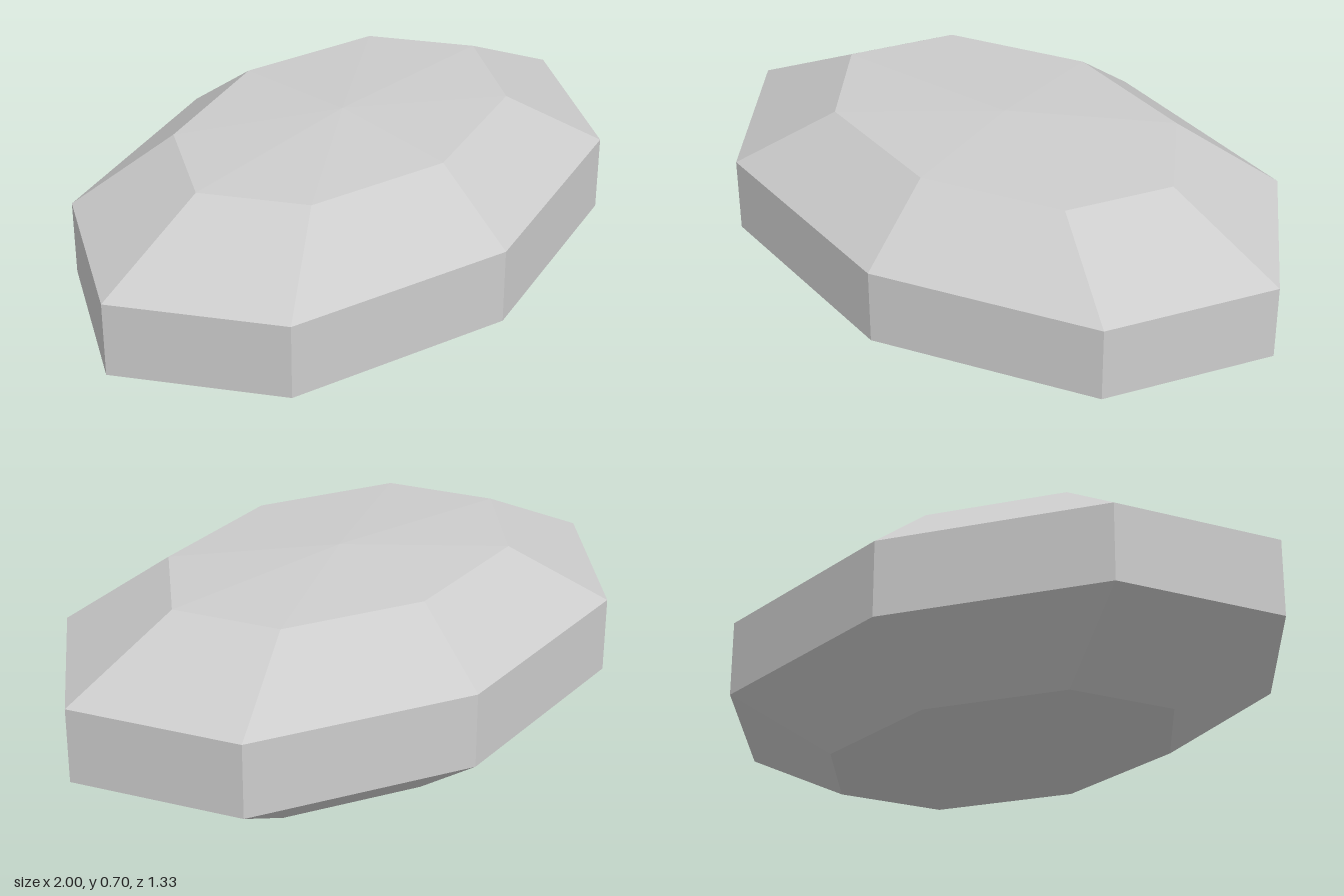
import * as THREE from 'three';

const stone = new THREE.MeshStandardMaterial({ name: 'stoneGrey', color: 0xcccccc, flatShading: true });

// Faceted eight-sided stone: lathe profile flattened into an oval
export function createModel() {
  const group = new THREE.Group();
  group.name = 'facetedStone';

  const profile = [
    [0, 0],        // bottom point
    [0.62, 0.025], // lower table edge
    [1, 0.227],    // girdle bottom
    [1, 0.477],    // girdle top
    [0.62, 0.679], // upper table edge
    [0, 0.704],    // top point
  ].map(([r, y]) => new THREE.Vector2(r, y));

  const lathe = new THREE.LatheGeometry(profile, 8);
  lathe.scale(1, 1, 0.665);
  const geometry = lathe.toNonIndexed();
  geometry.computeVertexNormals();

  const mesh = new THREE.Mesh(geometry, stone);
  mesh.name = 'stoneBody';
  group.add(mesh);
  return group;
}
